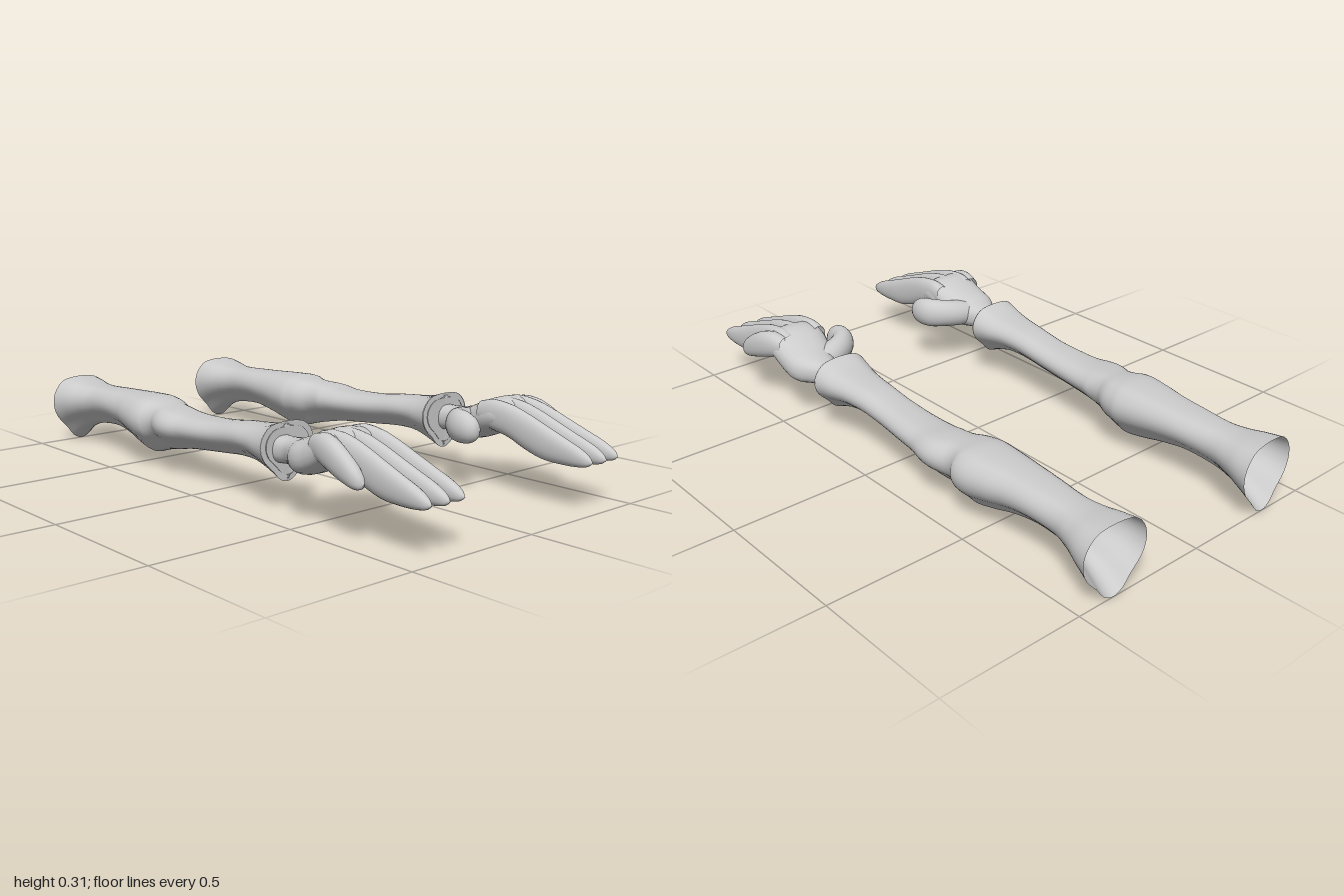
import * as THREE from 'three';

const material = new THREE.MeshStandardMaterial({ color: 0xcccccc, side: THREE.DoubleSide });

// Unit outlines, counter-clockwise
const oval = (power) => Array.from({ length: 24 }, (_, i) => {
  const a = (i / 24) * Math.PI * 2, c = Math.cos(a), s = Math.sin(a);
  return [Math.sign(c) * Math.abs(c) ** power, Math.sign(s) * Math.abs(s) ** power];
});
const half = [[0.27, -0.9], [0.55, -0.56], [0.87, -0.2], [1, 0.2], [0.93, 0.58], [0.66, 0.9], [0.3, 1]];
const keelShape = new THREE.CatmullRomCurve3(
  [[0, -1], ...half, ...half.slice().reverse().map(([u, v]) => [-u, v])]
    .map(([u, v]) => new THREE.Vector3(u, v, 0)), true)
  .getPoints(40).slice(0, 40).map((p) => [p.x, p.y]);

// Smooth skin over rows of [x, y, z, half width, half height]
function loft(name, rows, outline, steps, side, shift = () => 0) {
  const path = new THREE.CatmullRomCurve3(rows.map((r) => new THREE.Vector3(r[0], r[1], r[2])), false, 'catmullrom');
  const size = new THREE.CatmullRomCurve3(rows.map((r) => new THREE.Vector3(r[3], r[4], 0)), false, 'catmullrom');
  const pos = [], index = [], n = outline.length;
  for (let i = 0; i <= steps; i++) {
    const c = path.getPoint(i / steps), s = size.getPoint(i / steps), t = path.getTangent(i / steps);
    const len = Math.hypot(t.x, t.z) || 1;
    for (const [u, v] of outline) {
      const x = c.x + (u * s.x * t.z) / len;
      pos.push(side * x + shift(c.z), c.y + v * s.y, c.z - (u * s.x * t.x) / len);
    }
  }
  for (let i = 0; i < steps; i++) {
    for (let j = 0; j < n; j++) {
      const a = i * n + j, b = i * n + ((j + 1) % n), c = a + n, d = b + n;
      if (side > 0) index.push(a, b, c, b, d, c);
      else index.push(a, c, b, b, c, d);
    }
  }
  const geometry = new THREE.BufferGeometry();
  geometry.setAttribute('position', new THREE.Float32BufferAttribute(pos, 3));
  geometry.setIndex(index);
  geometry.computeVertexNormals();
  const mesh = new THREE.Mesh(geometry, material);
  mesh.name = name;
  return mesh;
}

// Sleeve limits per station: z, inner x, outer x, bottom y, top y
const sleeveRows = [
  [-1, 0.243, 0.487, 0, 0.247], [-0.94, 0.254, 0.47, 0.043, 0.24], [-0.88, 0.27, 0.447, 0.072, 0.233],
  [-0.81, 0.28, 0.43, 0.088, 0.232], [-0.7, 0.27, 0.434, 0.095, 0.237], [-0.6, 0.26, 0.442, 0.08, 0.242],
  [-0.52, 0.25, 0.458, 0.06, 0.246], [-0.44, 0.243, 0.47, 0.045, 0.248], [-0.39, 0.252, 0.458, 0.056, 0.243],
  [-0.34, 0.277, 0.446, 0.07, 0.236], [-0.27, 0.28, 0.466, 0.085, 0.23], [-0.19, 0.285, 0.45, 0.1, 0.223],
  [-0.1, 0.288, 0.442, 0.11, 0.224], [0, 0.29, 0.435, 0.12, 0.231], [0.1, 0.288, 0.437, 0.13, 0.244],
  [0.19, 0.28, 0.446, 0.129, 0.252], [0.26, 0.265, 0.46, 0.112, 0.262], [0.32, 0.253, 0.47, 0.088, 0.28],
].map(([z, x0, x1, y0, y1]) => [(x0 + x1) / 2, (y0 + y1) / 2, z, (x1 - x0) / 2, (y1 - y0) / 2]);

const rimRows = [[0.3615, 0.184, 0.32, 0.1085, 0.096], [0.3615, 0.187, 0.324, 0.088, 0.077]];
const liningRows = [[0.3615, 0.187, 0.324, 0.088, 0.077], [0.362, 0.188, 0.26, 0.079, 0.062], [0.363, 0.19, 0.16, 0.062, 0.05]];

const palmRows = [
  [0.37, 0.195, 0.16, 0.05, 0.045], [0.375, 0.195, 0.32, 0.046, 0.044], [0.376, 0.199, 0.38, 0.048, 0.042],
  [0.378, 0.2, 0.43, 0.071, 0.05], [0.38, 0.205, 0.47, 0.092, 0.06], [0.375, 0.222, 0.52, 0.1, 0.063],
  [0.37, 0.245, 0.57, 0.106, 0.06], [0.37, 0.253, 0.61, 0.108, 0.055], [0.37, 0.25, 0.645, 0.104, 0.045],
  [0.37, 0.248, 0.66, 0.09, 0.022], [0.37, 0.248, 0.664, 0.01, 0.003],
];

const thumbRows = [
  [0.36, 0.205, 0.45, 0.035, 0.04], [0.3, 0.212, 0.47, 0.046, 0.05], [0.25, 0.218, 0.488, 0.043, 0.052],
  [0.212, 0.22, 0.52, 0.041, 0.055], [0.201, 0.219, 0.56, 0.038, 0.053], [0.203, 0.216, 0.59, 0.031, 0.042],
  [0.206, 0.214, 0.607, 0.018, 0.024], [0.207, 0.213, 0.613, 0.001, 0.001],
];

const pinkyRows = [
  [0.438, 0.258, 0.55, 0.03, 0.035], [0.45, 0.256, 0.6, 0.033, 0.047], [0.462, 0.245, 0.65, 0.031, 0.05],
  [0.469, 0.226, 0.7, 0.028, 0.046], [0.471, 0.205, 0.745, 0.024, 0.036], [0.47, 0.193, 0.77, 0.015, 0.021],
  [0.47, 0.188, 0.782, 0.001, 0.001],
];

// Long finger from knuckle to tip; lean shifts it sideways along its length
const fingerRows = (x, lean, tip) => [
  [0, 0.262, 0.55, 0.027, 0.035], [0, 0.258, 0.6, 0.028, 0.05], [0.2, 0.247, 0.67, 0.028, 0.054],
  [0.4, 0.223, 0.74, 0.027, 0.058], [0.6, 0.2, 0.81, 0.026, 0.055], [0.8, 0.185, 0.88, 0.024, 0.044],
  [0.9, 0.175, 0.94, 0.021, 0.032], [1, 0.168, 0.98, 0.014, 0.018], [1, 0.165, 1, 0.001, 0.001],
].map(([k, y, z, w, h]) => [x + lean * k, y, 0.55 + (z - 0.55) * tip, w, h]);

function buildArm(side) {
  const arm = new THREE.Group();
  arm.name = side > 0 ? 'leftArm' : 'rightArm';

  // The right sleeve swings slightly inward toward the back
  const swing = (z) => (side < 0 ? 0.03 * (0.42 - z) : 0);
  const sleeve = new THREE.Group();
  sleeve.name = 'sleeve';
  sleeve.add(
    loft('sleeveOuter', sleeveRows, keelShape, 85, side, swing),
    loft('cuffRim', rimRows, keelShape, 1, side, swing),
    loft('cuffLining', liningRows.map((r) => r.slice()), keelShape, 8, side, swing),
  );

  const hand = new THREE.Group();
  hand.name = 'hand';
  hand.add(
    loft('palmAndWrist', palmRows, oval(0.85), 50, side),
    loft('thumb', thumbRows, oval(1), 35, side),
    loft('indexFinger', fingerRows(0.292, 0, 0.99), oval(0.9), 40, side),
    loft('middleFinger', fingerRows(0.36, -0.003, 1), oval(0.9), 40, side),
    loft('ringFinger', fingerRows(0.416, 0.008, 0.99), oval(0.9), 40, side),
    loft('littleFinger', pinkyRows, oval(0.9), 35, side),
  );
  arm.add(sleeve, hand);
  return arm;
}

export function createModel() {
  const model = new THREE.Group();
  model.name = 'pairOfArms';
  model.add(buildArm(1), buildArm(-1));
  return model;
}
